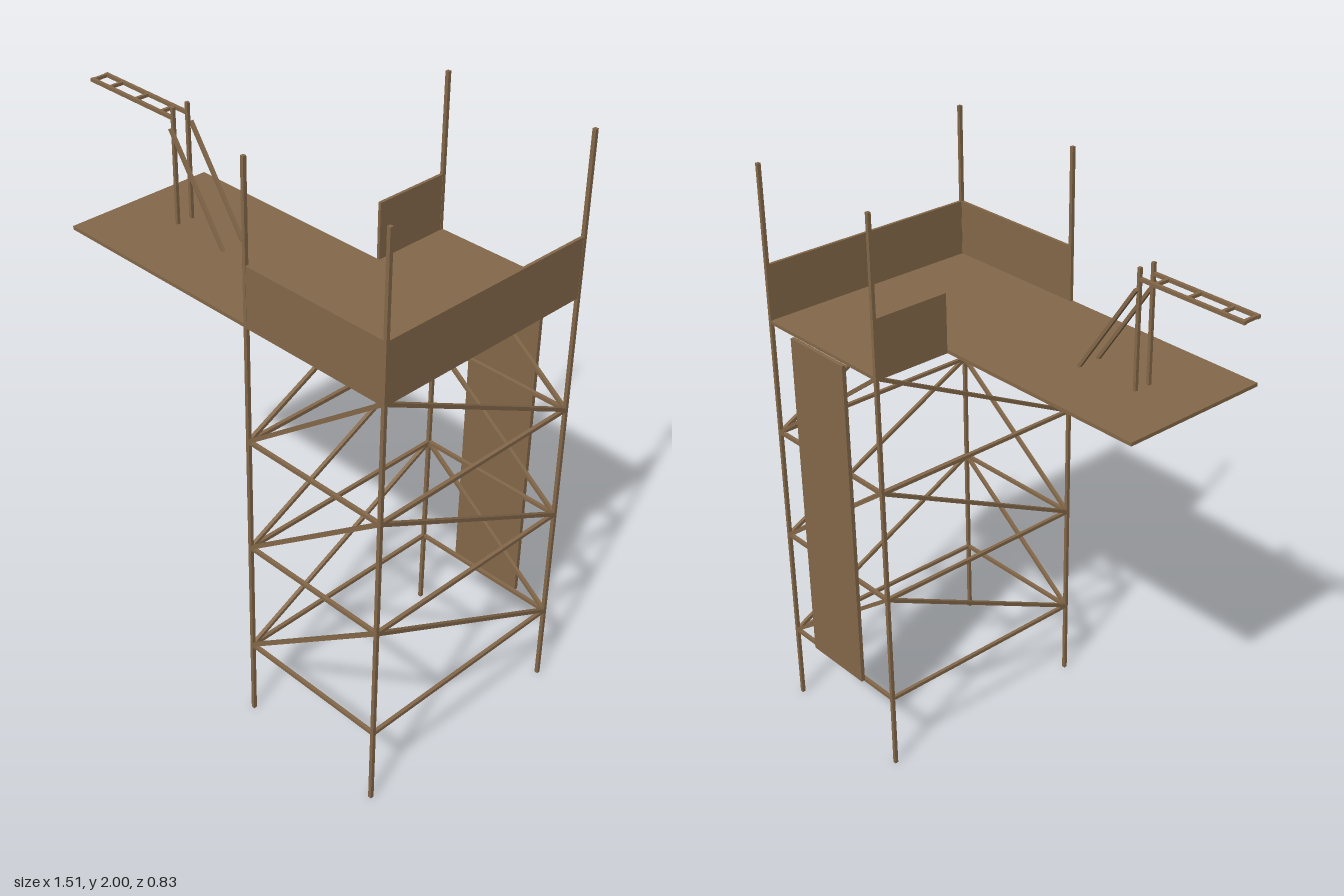
import * as THREE from 'three';

export function createModel() {
  const model = new THREE.Group();
  model.name = 'scaffoldTower';
  const wood = new THREE.MeshStandardMaterial({ color: 0x84694a, flatShading: true });
  const T = 0.012; // timber thickness

  function add(name, geometry, parent = model) {
    const mesh = new THREE.Mesh(geometry, wood);
    mesh.name = name;
    parent.add(mesh);
    return mesh;
  }
  // Box given by its lower and upper corners
  function box(name, [x0, y0, z0], [x1, y1, z1], parent) {
    const mesh = add(name, new THREE.BoxGeometry(x1 - x0, y1 - y0, z1 - z0), parent);
    mesh.position.set((x0 + x1) / 2, (y0 + y1) / 2, (z0 + z1) / 2);
    return mesh;
  }
  // Square timber running between two points
  function beam(name, from, to, parent, t = T) {
    const a = new THREE.Vector3(...from), b = new THREE.Vector3(...to);
    const mesh = add(name, new THREE.BoxGeometry(t, t, a.distanceTo(b)), parent);
    mesh.position.copy(a).add(b).multiplyScalar(0.5);
    mesh.lookAt(b);
    return mesh;
  }

  const xR = 0.215, xL = 0.75, zF = 0.405, zB = -0.395;
  const deckY = 1.475, bay = 0.4, firstRail = 0.275;

  // Corner posts
  for (const x of [xR, xL]) {
    for (const z of [zF, zB]) beam('post', [x, 0, z], [x, 2, z]);
  }

  // Each side: low corner of the diagonal first, high corner second
  const sides = [
    [[xR, zF], [xL, zF]],
    [[xL, zB], [xR, zB]],
    [[xR, zF], [xR, zB]],
    [[xL, zB], [xL, zF]],
  ];
  const bracing = new THREE.Group();
  bracing.name = 'bracing';
  model.add(bracing);
  for (const [[ax, az], [bx, bz]] of sides) {
    for (let i = 0; i < 3; i++) {
      const y = firstRail + i * bay;
      beam('rail', [ax, y, az], [bx, y, bz], bracing);
      beam('diagonalBrace', [ax, y, az], [bx, y + bay, bz], bracing);
    }
  }

  // L-shaped deck, drawn in plan with shape y = -z
  const plan = new THREE.Shape([
    [-0.575, -0.41], [xL, -0.41], [xL, 0.4], [xR, 0.4], [xR, 0.122], [-0.575, 0.122],
  ].map(([x, y]) => new THREE.Vector2(x, y)));
  const deck = add('deck', new THREE.ExtrudeGeometry(plan, { depth: T, bevelEnabled: false }));
  deck.rotation.x = -Math.PI / 2;
  deck.position.y = deckY - T / 2;

  // Parapet boards
  const wallTop = 1.67, h = 0.005, y0 = deckY - T / 2;
  box('frontParapet', [xR, y0, zF - h], [xL, wallTop, zF + h]);
  box('leftParapet', [xL - h, y0, zB], [xL + h, wallTop, zF]);
  box('rightParapet', [xR - h, y0, zB], [xR + h, wallTop, -0.122]);

  // Tall board on the back
  box('backPanel', [0.357, firstRail, -0.415], [0.62, deckY - T / 2, -0.401]);

  // Hoist: two uprights, raking struts and a ladder-like arm
  const hoist = new THREE.Group();
  hoist.name = 'hoist';
  model.add(hoist);
  const hx = -0.365, armY = 1.835, t = 0.011;
  for (const side of [-1, 1]) {
    const z = 0.138 + side * 0.028, zOut = 0.138 + side * 0.04;
    beam('hoistUpright', [hx, deckY, z], [hx, 1.87, z], hoist, t);
    beam('hoistStrut', [hx, 1.805, zOut], [-0.138, deckY, zOut], hoist, t);
    beam('hoistArm', [-0.757, armY, z], [hx, armY, z], hoist, t);
  }
  for (const x of [-0.75, -0.67, -0.547, -0.425]) {
    beam('hoistRung', [x, armY, 0.11], [x, armY, 0.166], hoist, 0.01);
  }
  return model;
}
